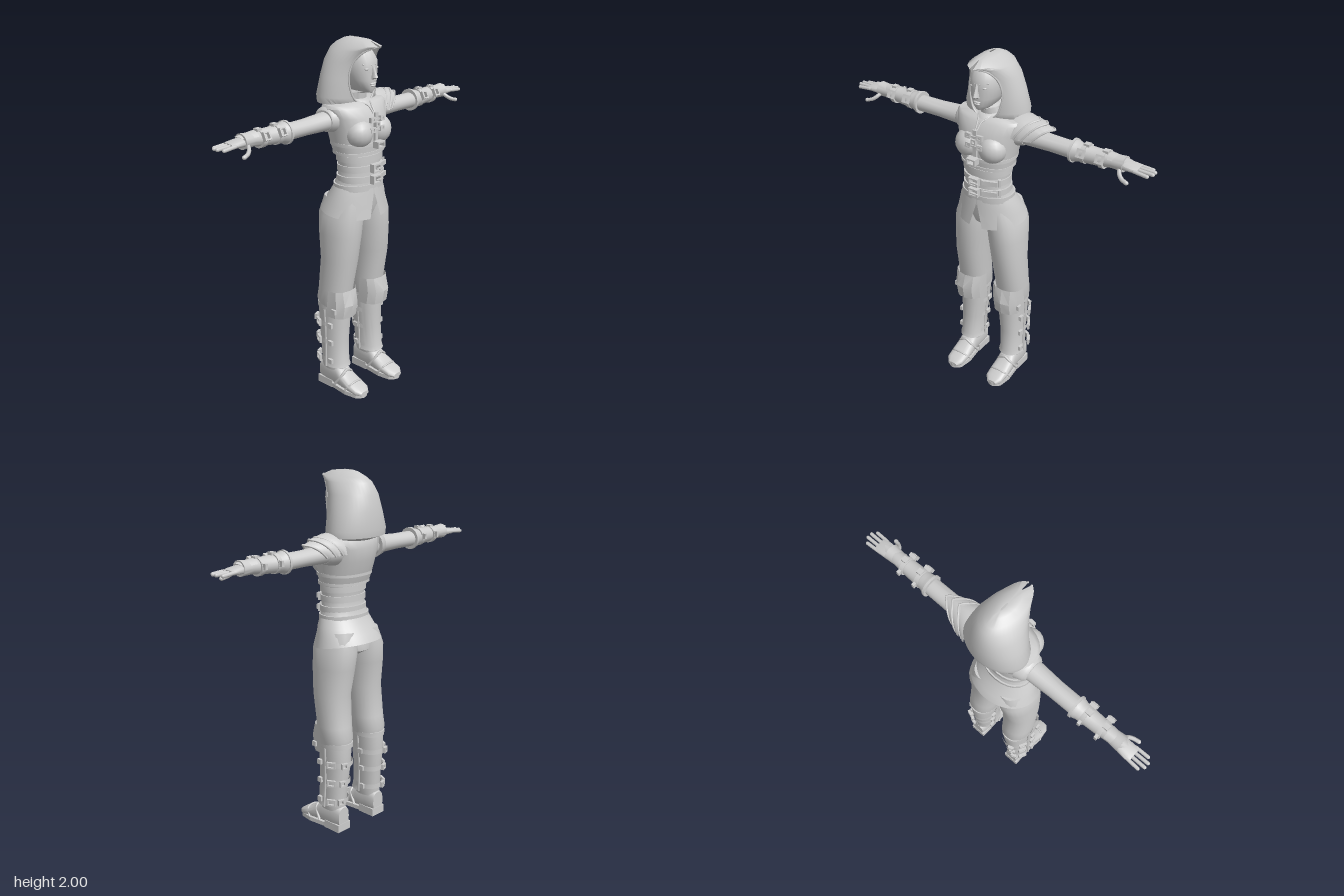
import * as THREE from 'three';
import { toCreasedNormals } from 'three/addons/utils/BufferGeometryUtils.js';

const V = (x, y, z) => new THREE.Vector3(x, y, z);

// Surface from a grid of points fn(u, v); optional end caps on the v ends
function grid(nu, nv, fn, caps = false, crease = 0.7) {
  const pos = [], idx = [], n = nu + 1;
  for (let i = 0; i <= nv; i++) for (let j = 0; j <= nu; j++) pos.push(...fn(j / nu, i));
  for (let i = 0; i < nv; i++) for (let j = 0; j < nu; j++) {
    const a = i * n + j;
    idx.push(a, a + n, a + n + 1, a, a + n + 1, a + 1);
  }
  if (caps) for (const row of [0, nv]) {
    const c = [0, 0, 0];
    for (let j = 0; j < nu; j++) for (let k = 0; k < 3; k++) c[k] += pos[(row * n + j) * 3 + k] / nu;
    const ci = pos.push(...c) / 3 - 1;
    for (let j = 0; j < nu; j++) {
      const a = row * n + j;
      row ? idx.push(ci, a + 1, a) : idx.push(ci, a, a + 1);
    }
  }
  const g = new THREE.BufferGeometry();
  g.setAttribute('position', new THREE.Float32BufferAttribute(pos, 3));
  g.setIndex(idx);
  return toCreasedNormals(g, crease);
}

// Loft of rings, bottom to top. Row: [y, halfWidth, zFront, zBack, centreX, halfArcDegrees, tilt]
function shell(rows, { seg = 24, n = 2, front = false, caps = true, crease = 0.7 } = {}) {
  const sp = v => Math.sign(v) * Math.abs(v) ** (2 / n);
  return grid(seg, rows.length - 1, (u, i) => {
    const [y, w, zf, zb, cx = 0, arc = 180, tilt = 0] = rows[i];
    const a = (u * 2 - 1) * arc * Math.PI / 180 + (front ? Math.PI : 0);
    const z = (zf + zb) / 2 - (zf - zb) / 2 * sp(Math.cos(a));
    return [cx + w * sp(Math.sin(a)), y + tilt * z, z];
  }, caps, crease);
}

// Straight band around one ring
const band = (y, h, w, zf, zb, cx = 0, n = 2) =>
  shell([[y - h / 2, w, zf, zb, cx], [y + h / 2, w, zf, zb, cx]], { n });

const limb = (a, b, r) => {
  const d = b.clone().sub(a), g = new THREE.CapsuleGeometry(r, d.length() - r, 4, 8);
  g.applyQuaternion(new THREE.Quaternion().setFromUnitVectors(V(0, 1, 0), d.clone().normalize()));
  return g.translate((a.x + b.x) / 2, (a.y + b.y) / 2, (a.z + b.z) / 2);
};

const box = (w, h, d, x, y, z) => new THREE.BoxGeometry(w, h, d).translate(x, y, z);
const ball = (rx, ry, rz, x, y, z) => new THREE.SphereGeometry(1, 18, 12).scale(rx, ry, rz).translate(x, y, z);
const tube = (pts, r) => new THREE.TubeGeometry(new THREE.CatmullRomCurve3(pts), 20, r, 6);

// Turns a part built at the origin so its +z faces along the normal
function place(g, p, normal) {
  const o = new THREE.Object3D();
  o.position.copy(p);
  o.lookAt(p.clone().add(normal));
  o.updateMatrix();
  return g.applyMatrix4(o.matrix);
}

function buckle(p, normal, w = 0.045, h = 0.036, d = 0.014) {
  const rect = (a, b, T) => new T().moveTo(-a, -b).lineTo(a, -b).lineTo(a, b).lineTo(-a, b).closePath();
  const s = rect(w / 2, h / 2, THREE.Shape);
  s.holes.push(rect(w / 2 - 0.008, h / 2 - 0.008, THREE.Path));
  return place(new THREE.ExtrudeGeometry(s, { depth: d, bevelEnabled: false }), p, normal);
}

function mirrored(geo) {
  const g = geo.index ? geo.toNonIndexed() : geo.clone();
  for (const name of ['position', 'normal']) {
    const a = g.attributes[name];
    for (let i = 0; i < a.count; i += 3) {
      const t = [0, 2, 1].map(k => [-a.getX(i + k), a.getY(i + k), a.getZ(i + k)]);
      t.forEach((p, k) => a.setXYZ(i + k, ...p));
    }
  }
  return g;
}

export function createModel() {
  const model = new THREE.Group();
  const grey = new THREE.MeshStandardMaterial({ color: 0xcccccc, side: THREE.DoubleSide });
  grey.name = 'grey';
  const add = (name, g) => {
    const m = new THREE.Mesh(g, grey);
    m.name = name;
    model.add(m);
  };
  const pair = (name, g) => { add(name + 'Left', g); add(name + 'Right', mirrored(g)); };

  // Head and face
  add('head', shell([[1.62, .055, .05, -.06], [1.715, .045, .06, -.05], [1.727, .03, .115, -.05],
    [1.75, .055, .124, -.06], [1.79, .072, .126, -.07], [1.84, .08, .125, -.08], [1.89, .078, .125, -.08],
    [1.93, .06, .1, -.06], [1.95, .02, .04, -.02]], { n: 2.2 }));
  add('nose', shell([[1.797, .017, .135, .11], [1.806, .016, .153, .11], [1.835, .009, .14, .11],
    [1.87, .007, .128, .11]], { seg: 10 }));
  add('upperLip', ball(.022, .006, .012, 0, 1.773, .121));
  add('lowerLip', ball(.018, .007, .012, 0, 1.762, .12));
  pair('eye', ball(.016, .007, .01, .034, 1.85, .109));
  pair('brow', limb(V(.014, 1.869, .122), V(.055, 1.875, .098), .004));

  // Hood, open around the face
  const hood = [[1.645, .12, .05, -.15, 0, 168], [1.665, .18, .06, -.2, 0, 166], [1.7, .182, .065, -.205, 0, 155],
    [1.8, .155, .075, -.195, 0, 140], [1.88, .13, .09, -.182, 0, 140], [1.94, .1, .128, -.157, 0, 150],
    [1.965, .075, .165, -.13, 0, 172], [1.99, .042, .1, -.08, 0, 180], [2, .005, .01, -.04, 0, 180]];
  add('hood', shell(hood, { seg: 32, caps: false, crease: 1 }));
  const rim = hood.slice(0, 7).map(([y, w, zf, zb, , arc]) => {
    const a = arc * Math.PI / 180;
    return V(w * Math.sin(a), y, (zf + zb) / 2 - (zf - zb) / 2 * Math.cos(a));
  });
  pair('hoodRim', tube(rim, .005));
  pair('hoodTie', tube([V(.03, 1.67, .07), V(.012, 1.655, .1), V(.005, 1.62, .13)], .005));
  add('collar', shell([[1.64, .1, .1, -.12], [1.675, .07, .08, -.1], [1.685, .06, .06, -.08]]));

  // Vest and waist
  add('vest', shell([[1.4, .147, .13, -.092], [1.45, .156, .135, -.11], [1.53, .168, .14, -.132],
    [1.6, .182, .128, -.145], [1.65, .2, .1, -.135], [1.665, .19, .085, -.12], [1.68, .08, .06, -.09]], { n: 2.3 }));
  pair('bust', ball(.078, .078, .075, .072, 1.515, .088));
  add('vestHem', band(1.405, .016, .151, .136, -.096, 0, 2.3));
  add('waist', shell([[1.17, .165, .13, -.115], [1.22, .145, .128, -.09], [1.28, .128, .124, -.072],
    [1.34, .128, .122, -.07], [1.41, .14, .125, -.085]], { n: 2.2 }));
  for (const [y, w, zb] of [[1.375, .137, -.082], [1.32, .134, -.077], [1.262, .137, -.08], [1.215, .15, -.095]])
    add('waistBand', band(y, .034, w, .132, zb, 0, 2.2));
  for (const y of [1.325, 1.262]) {
    add('beltBuckle', buckle(V(-.005, y, .134), V(0, 0, 1), .058, .046, .03));
    add('beltPin', box(.05, .007, .01, .008, y, .168));
    add('beltTongue', place(box(.085, .026, .012, 0, 0, 0), V(.075, y, .122), V(.35, 0, 1)));
    add('beltLoop', place(box(.014, .042, .022, 0, 0, 0), V(.115, y, .088), V(.8, 0, 1)));
  }

  // Chest straps and clasps
  add('chestStrap', band(1.455, .018, .159, .145, -.113, 0, 2.3));
  add('chestBuckle', buckle(V(0, 1.457, .148), V(0, 0, 1), .055, .036, .04));
  add('chestPlacket', box(.022, .16, .012, 0, 1.545, .144));
  for (const y of [1.59, 1.535]) {
    pair('chestClasp', buckle(V(.034, y, .143), V(.1, .1, 1), .034, .028, .018));
    add('chestTab', box(.09, .01, .012, 0, y, .151));
  }
  add('chestRing', buckle(V(0, 1.562, .15), V(0, 0, 1), .03, .03, .012));

  // Flared skirt with a front slit
  add('skirt', shell([[1.065, .205, .15, -.178, 0, 168.5, -.15], [1.12, .188, .142, -.155, 0, 173, -.08],
    [1.17, .172, .136, -.122, 0, 178, 0], [1.215, .151, .131, -.097, 0, 180, 0]], { seg: 36, caps: false }));

  // Trousers
  add('hips', shell([[1, .03, .02, -.07], [1.04, .12, .095, -.14], [1.1, .17, .115, -.14], [1.2, .14, .12, -.09]]));
  pair('trouserLeg', shell([[.49, .074, .045, -.128, .13], [.55, .086, .058, -.145, .13], [.62, .09, .065, -.13, .128],
    [.8, .092, .1, -.118, .122], [.95, .099, .115, -.14, .111], [1.05, .1, .12, -.15, .102],
    [1.15, .08, .11, -.13, .085]], { n: 2.2 }));

  // Boots: shaft, shin plate, knee guard, straps
  pair('bootShaft', shell([[.12, .055, .045, -.11, .141], [.16, .062, .05, -.113, .14], [.3, .063, .04, -.125, .136],
    [.4, .07, .044, -.138, .132], [.51, .076, .046, -.138, .13]], { n: 2.2 }));
  pair('bootTop', band(.515, .028, .08, .05, -.146, .13, 2.2));
  pair('shinPlate', shell([[.145, .073, .064, -.125, .14, 92], [.17, .068, .056, -.125, .14, 92],
    [.3, .07, .048, -.128, .136, 92], [.4, .076, .052, -.14, .132, 92], [.5, .082, .055, -.14, .13, 92]],
    { n: 2.2, front: true, caps: false }));
  for (const s of [-1, 1]) pair('shinPlateEdge', tube([V(.14 + s * .073, .145, -.034), V(.136 + s * .071, .3, -.038),
    V(.13 + s * .082, .5, -.042)], .006));
  pair('kneeGuard', shell([[.465, .086, .088, -.1, .13, 100], [.54, .09, .1, -.1, .13, 96],
    [.625, .092, .078, -.08, .127, 92]], { seg: 6, n: 2.3, front: true, caps: false, crease: .4 }));
  pair('kneeStud', box(.016, .028, .028, .216, .51, .035));
  for (const [y, w, cx, zf, zb] of [[.41, .08, .132, .045, -.147], [.3, .073, .136, .04, -.134], [.185, .071, .14, .045, -.124]]) {
    pair('bootStrap', shell([[y - .014, w, zf, zb, cx, 115], [y + .014, w, zf, zb, cx, 115]], { caps: false, n: 2.2 }));
    pair('bootBuckle', buckle(V(cx + w * .92, y, -.085), V(1, 0, -.5), .05, .038));
    pair('bootBuckleBack', buckle(V(cx + w * .4, y, zb + .006), V(.35, 0, -1), .036, .034, .016));
    pair('bootStud', box(.016, .028, .028, cx + w, y, 0));
    pair('bootInnerStud', box(.014, .026, .03, cx - w, y, -.06));
  }

  // Feet, built along z
  pair('foot', shell([[-.118, .04, -.02, -.14, .142], [-.06, .052, -.02, -.17, .142], [.02, .052, -.02, -.155, .142],
    [.06, .055, -.02, -.115, .142], [.12, .058, -.02, -.08, .142], [.175, .053, -.015, -.06, .142],
    [.203, .03, -.015, -.04, .142]], { n: 2.6 }).rotateX(Math.PI / 2));
  const sole = new THREE.Shape().moveTo(.1, .11).lineTo(.095, 0).lineTo(.083, -.1).lineTo(.095, -.175)
    .quadraticCurveTo(.142, -.235, .189, -.175).lineTo(.201, -.1).lineTo(.19, 0).lineTo(.184, .11).closePath();
  pair('sole', new THREE.ExtrudeGeometry(sole, { depth: .024, bevelEnabled: false }).rotateX(-Math.PI / 2).translate(0, .004, 0));
  pair('heel', box(.096, .045, .11, .142, .0225, -.066));
  pair('footStrap', tube([V(.084, .04, .02), V(.1, .1, .06), V(.142, .128, .064), V(.184, .1, .06), V(.2, .04, .02)], .008));
  pair('toeStrap', tube([V(.082, .03, .1), V(.1, .07, .13), V(.142, .08, .135), V(.184, .07, .13), V(.202, .03, .1)], .006));

  // Arms, built upwards and laid along x (rows: x, half height, z front, z back, -y)
  const along = (rows, o) => shell(rows, o).rotateZ(-Math.PI / 2);
  pair('sleeve', along([[.12, .062, .04, -.11, -1.585], [.2, .05, .025, -.09, -1.583], [.35, .043, .017, -.082, -1.58],
    [.52, .043, .017, -.08, -1.578]]));
  pair('armhole', along([[.15, .075, .05, -.125, -1.59], [.195, .066, .04, -.11, -1.59], [.208, .055, .03, -.095, -1.587]]));
  pair('bracer', along([[.475, .06, .027, -.093, -1.58], [.5, .055, .022, -.088, -1.58], [.515, .048, .018, -.083, -1.58],
    [.63, .043, .012, -.078, -1.585], [.7, .036, .005, -.072, -1.588], [.765, .04, .012, -.078, -1.59]]));
  pair('bracerCuff', along([[.475, .062, .03, -.096, -1.58], [.488, .062, .03, -.096, -1.58]]));
  for (const [x, h] of [[.545, .052], [.65, .047]]) {
    pair('bracerStrap', along([[x - .012, h, .02, -.086, -1.583], [x + .012, h, .02, -.086, -1.583]]));
    pair('bracerBuckle', buckle(V(x, 1.6, .014), V(0, .5, 1), .04, .045, .02));
    pair('bracerStud', box(.03, .014, .03, x + .01, 1.583 + h, -.03));
    pair('bracerTab', box(.016, .03, .022, x, 1.59, -.09));
  }
  pair('wristGuard', grid(8, 1, (u, i) => {
    const a = (u - .5) * 2.2, r = i ? .035 : .045;
    return [i ? .8 - Math.abs(u - .5) * .08 : .68, 1.585 + r * Math.cos(a), -.035 + r * Math.sin(a)];
  }));

  // Hands
  pair('palm', along([[.73, .022, -.005, -.065, -1.588], [.77, .021, .006, -.078, -1.586],
    [.82, .016, .006, -.082, -1.584], [.84, .012, .002, -.078, -1.583]], { seg: 16, n: 2.5 }));
  [[-.072, .898], [-.049, .918], [-.025, .918], [-.001, .9]].forEach(([z, end], k) =>
    pair('finger' + (k + 1), limb(V(.82, 1.584, z), V(end, 1.582 - (k % 3 ? 0 : .004), z * 1.08 + .003), .0098)));
  pair('thumb', tube([V(.745, 1.58, -.01), V(.76, 1.56, .02), V(.782, 1.545, .036), V(.81, 1.537, .044)], .011));
  pair('thumbTip', ball(.013, .011, .011, .81, 1.537, .044));

  // Layered shoulder guard on the left side only
  [[.15, .27, .118, .108], [.19, .315, .11, .1], [.22, .36, .1, .078]].forEach(([x0, tip, r0, r1], k) => {
    const edge = (u, i) => {
      const a = (u - .5) * 2.9, r = [r0, (r0 + r1) / 2 + .006, r1][i];
      const end = tip - Math.abs(u - .5) * .2;
      return [x0 + (end - x0) * i / 2, 1.572 + r * Math.cos(a), -.045 + r * .92 * Math.sin(a)];
    };
    add('shoulderPlate' + (k + 1), grid(20, 2, edge));
    const pts = [...Array(11).keys()].map(j => V(...edge(j / 10, 2)));
    add('shoulderPlateRim' + (k + 1), tube(pts, .006));
  });

  return model;
}
